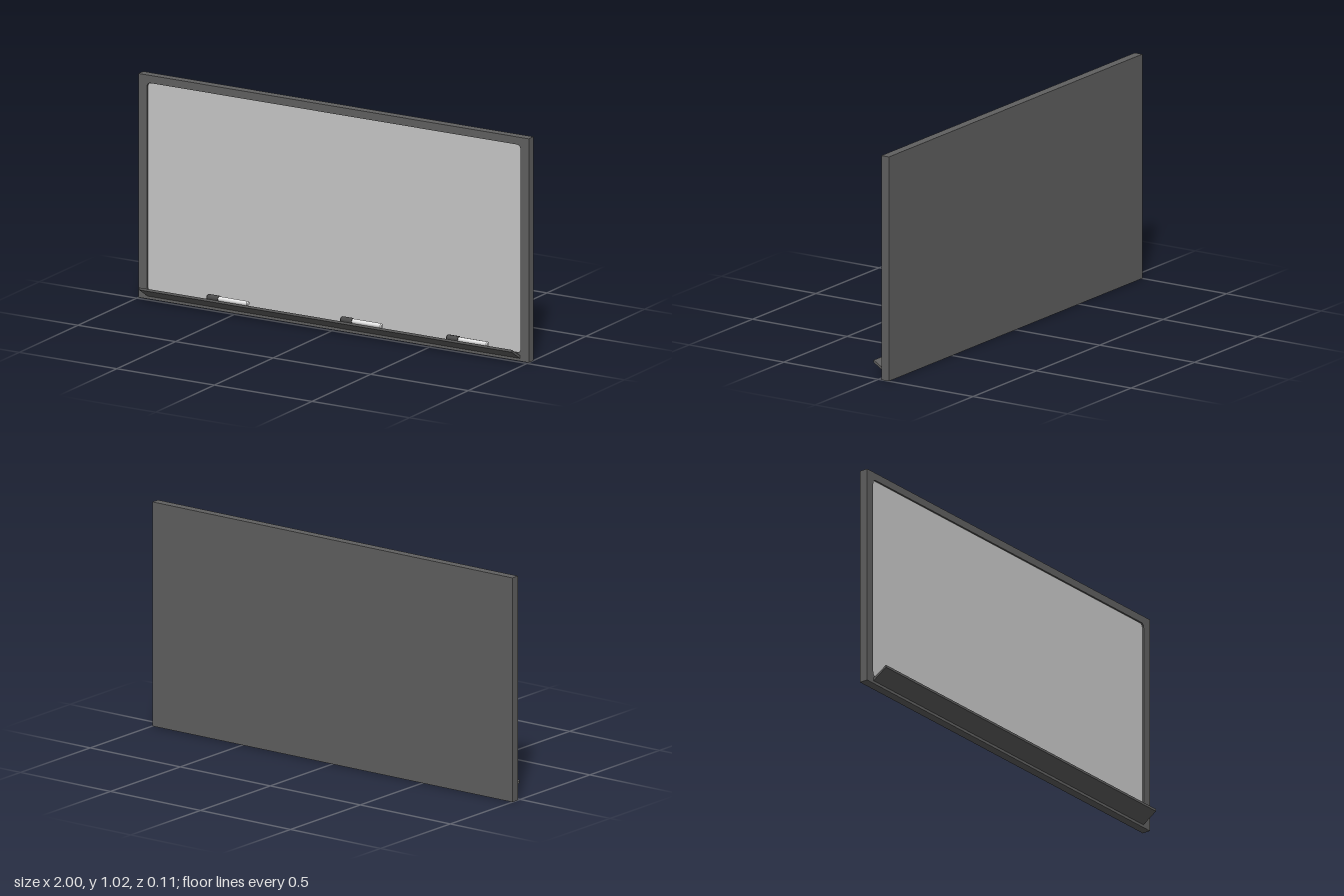
import * as THREE from 'three';

const mat = (name, color) => {
  const m = new THREE.MeshStandardMaterial({ color });
  m.name = name;
  return m;
};

export function createModel() {
  const group = new THREE.Group();
  const frameMat = mat('dark grey metal', 0x606060);
  const boardMat = mat('board surface', 0xc8c8c8);
  const bodyMat = mat('marker white', 0xe8e8e8);
  const capMat = mat('marker cap', 0x484848);

  const H = 1.023, BACK = -0.055, FRONT = -0.015, RECESS = 0.008;

  const add = (name, geometry, material, parent = group) => {
    const mesh = new THREE.Mesh(geometry, material);
    mesh.name = name;
    parent.add(mesh);
    return mesh;
  };

  const roundedRect = (path, x0, y0, x1, y1, r) => {
    path.moveTo(x0 + r, y0);
    path.lineTo(x1 - r, y0);
    path.quadraticCurveTo(x1, y0, x1, y0 + r);
    path.lineTo(x1, y1 - r);
    path.quadraticCurveTo(x1, y1, x1 - r, y1);
    path.lineTo(x0 + r, y1);
    path.quadraticCurveTo(x0, y1, x0, y1 - r);
    path.lineTo(x0, y0 + r);
    path.quadraticCurveTo(x0, y0, x0 + r, y0);
    return path;
  };

  // Solid backing behind the writing surface
  const backDepth = FRONT - RECESS - BACK;
  add('backing', new THREE.BoxGeometry(2, H, backDepth), frameMat)
    .position.set(0, H / 2, BACK + backDepth / 2);

  // Raised border with a round-cornered opening
  const border = new THREE.Shape([[-1, 0], [1, 0], [1, H], [-1, H]].map(([x, y]) => new THREE.Vector2(x, y)));
  border.holes.push(roundedRect(new THREE.Path(), -0.957, 0.036, 0.957, 0.988, 0.02));
  add('frame', new THREE.ExtrudeGeometry(border, { depth: RECESS, bevelEnabled: false, curveSegments: 6 }), frameMat)
    .position.z = FRONT - RECESS;

  // Writing surface, a thin plate inside the opening
  const panel = roundedRect(new THREE.Shape(), -0.955, 0.038, 0.955, 0.986, 0.02);
  add('writingSurface', new THREE.ExtrudeGeometry(panel, { depth: 0.002, bevelEnabled: false, curveSegments: 6 }), boardMat)
    .position.z = FRONT - RECESS;

  // Sloping tray: side profile (z, y) swept along x
  const trayProfile = new THREE.Shape([[-0.016, 0.012], [0.055, 0.058], [0.055, 0.069], [-0.016, 0.026]]
    .map(([z, y]) => new THREE.Vector2(-z, y)));
  const tray = add('tray', new THREE.ExtrudeGeometry(trayProfile, { depth: 1.91, bevelEnabled: false }), frameMat);
  tray.rotation.y = Math.PI / 2;
  tray.position.x = -0.955;

  // Markers: profile points (radius, distance along the length)
  const lathe = (pts) => new THREE.LatheGeometry(pts.map(([r, y]) => new THREE.Vector2(r, y)), 8).rotateZ(-Math.PI / 2);
  const capGeo = lathe([[0, 0], [0.011, 0], [0.011, 0], [0.0145, 0.004], [0.0145, 0.004],
    [0.0145, 0.06], [0.0145, 0.06], [0.011, 0.06]]);
  const bodyGeo = lathe([[0.0115, 0.058], [0.0115, 0.205], [0.0115, 0.205], [0.008, 0.21], [0.008, 0.21], [0, 0.21]]);
  [[-0.626, 0.066, 0.018], [0.059, 0.066, 0.018], [0.6, 0.063, 0.014]].forEach(([x, y, z], i) => {
    const marker = new THREE.Group();
    marker.name = 'marker' + (i + 1);
    add('markerCap', capGeo, capMat, marker);
    add('markerBody', bodyGeo, bodyMat, marker);
    marker.position.set(x, y, z);
    marker.rotation.x = i * 0.5;
    group.add(marker);
  });

  return group;
}
